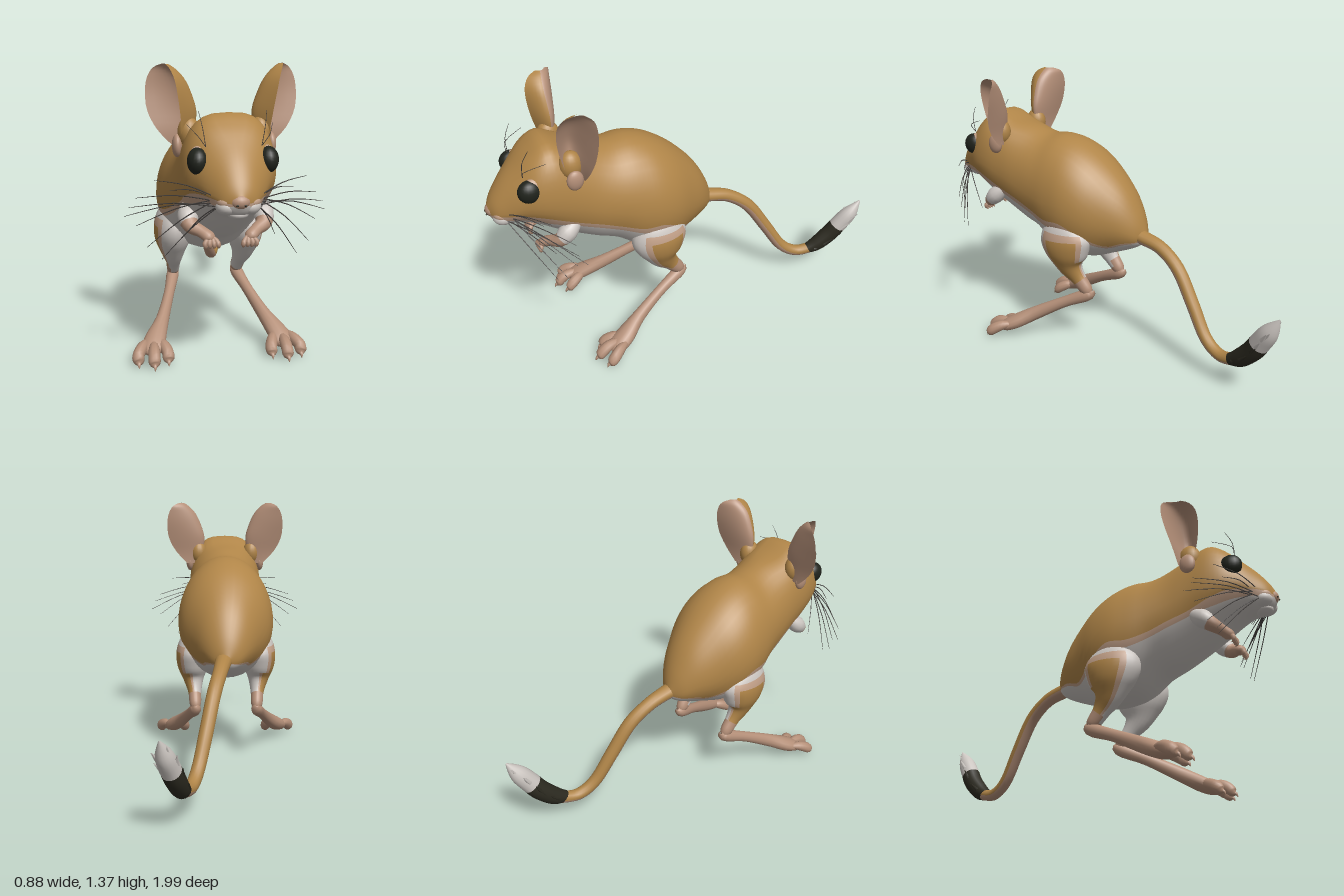
import * as THREE from 'three';

const mat = (name, color) => Object.assign(new THREE.MeshStandardMaterial({ color }), { name });
const M = {
  tan: mat('tan fur', 0xb08548), cream: mat('pale fur', 0xcbc5c0), band: mat('fur border', 0xc2a088),
  skin: mat('pink skin', 0xb59079), dark: mat('dark fur', 0x2c2a20), eye: mat('eye black', 0x20231c),
  whisker: mat('whisker grey', 0x45413f),
};

// Smooth interpolation through rows of numbers, t from 0 to 1
function along(rows, t) {
  const n = rows.length - 1, f = Math.min(Math.max(t, 0), 1) * n, i = Math.min(Math.floor(f), n - 1), k = f - i;
  const [p, q, r, s] = [-1, 0, 1, 2].map(d => rows[Math.min(Math.max(i + d, 0), n)]);
  return q.map((_, c) => 0.5 * (2 * q[c] + (r[c] - p[c]) * k + (2 * p[c] - 5 * q[c] + 4 * r[c] - s[c]) * k * k
    + (3 * q[c] - p[c] - 3 * r[c] + s[c]) * k * k * k));
}

// Grid surface; pick(i, j) chooses the material of each cell
function surface(name, nu, nv, closed, point, mats, pick = () => 0) {
  const pos = [], lists = mats.map(() => []), w = closed ? nv : nv + 1;
  for (let i = 0; i <= nu; i++) for (let j = 0; j < w; j++) pos.push(...point(i, j));
  for (let i = 0; i < nu; i++) for (let j = 0; j < nv; j++) {
    const k = (j + 1) % w, a = i * w + j, b = i * w + k, c = a + w, d = b + w;
    lists[pick(i, j)].push(a, b, c, b, d, c);
  }
  const g = new THREE.BufferGeometry();
  g.setAttribute('position', new THREE.Float32BufferAttribute(pos, 3));
  g.setIndex(lists.flat());
  let start = 0;
  lists.forEach((l, m) => { g.addGroup(start, l.length, m); start += l.length; });
  g.computeVertexNormals();
  const mesh = new THREE.Mesh(g, mats.length > 1 ? mats : mats[0]);
  mesh.name = name;
  return mesh;
}

// Limb with elliptical sections; rows are [x, y, z, radius across, radius other way]
function limb(name, rows, ref, mats, nu = 20, nv = 14, pick) {
  const R = new THREE.Vector3(...ref);
  return surface(name, nu, nv, true, (i, j) => {
    const t = i / nu, p = along(rows, t), e = 0.01, v = j / nv * Math.PI * 2;
    const T = new THREE.Vector3(...along(rows, t + e).slice(0, 3))
      .sub(new THREE.Vector3(...along(rows, t - e).slice(0, 3))).normalize();
    const A = new THREE.Vector3().crossVectors(T, R).normalize(), B = new THREE.Vector3().crossVectors(T, A);
    return new THREE.Vector3(p[0], p[1], p[2])
      .addScaledVector(A, Math.max(p[3], 0.001) * Math.cos(v))
      .addScaledVector(B, Math.max(p[4], 0.001) * Math.sin(v)).toArray();
  }, mats, pick);
}

function ball(name, c, r, m) {
  const mesh = new THREE.Mesh(new THREE.SphereGeometry(1, 20, 14).scale(...r).translate(...c), m);
  mesh.name = name;
  return mesh;
}

// Mirrored copy across x with corrected corner order
function mirrored(mesh) {
  const g = mesh.geometry.clone().applyMatrix4(new THREE.Matrix4().makeScale(-1, 1, 1)), ix = g.index.array;
  for (let i = 0; i < ix.length; i += 3) [ix[i], ix[i + 1]] = [ix[i + 1], ix[i]];
  const copy = new THREE.Mesh(g, mesh.material);
  copy.name = mesh.name.replace('left', 'right');
  return copy;
}

// Body and head: [z, top, bottom, half width, widest height, fur boundary height]
function makeBody() {
  const rows = [
    [-0.17, .63, .58, .02, .61, .59], [-0.14, .72, .55, .075, .62, .585], [-0.08, .83, .52, .13, .66, .58],
    [0, .925, .49, .18, .69, .56], [.1, 1.01, .455, .235, .72, .62], [.2, 1.065, .455, .258, .74, .68],
    [.3, 1.09, .48, .25, .76, .68], [.4, 1.085, .55, .23, .8, .71], [.5, 1.115, .59, .215, .83, .75],
    [.6, 1.14, .64, .208, .88, .785], [.7, 1.183, .7, .205, .92, .83], [.78, 1.14, .755, .188, .93, .86],
    [.85, 1.075, .785, .15, .92, .87], [.91, 1.01, .79, .11, .88, .868], [.96, .94, .805, .07, .86, .86],
    [.985, .89, .84, .025, .86, .855]];
  const nu = 60, half = 18, cut = 11, step = THREE.MathUtils.smoothstep;
  const zone = k => (k < cut ? 0 : k === cut ? 1 : 2);
  return surface('body and head', nu, half * 2, true, (i, j) => {
    const [z, top, bot, w, ym, yb] = along(rows, i / nu), k = j <= half ? j : 2 * half - j;
    const b = Math.acos(Math.min(Math.max((yb - ym) / (ym - bot), -0.85), 0.3));
    const b2 = b + (Math.PI - b) * (0.1 + 0.14 * step(z, .6, .8));
    const a = k <= cut ? b * k / cut : b2 + (Math.PI - b2) * (k - cut - 1) / (half - cut - 1);
    // the crown of the head is squarer than the back
    const c = Math.cos(a), square = c > 0 ? 1 - .35 * step(z, .45, .62) * (1 - step(z, .76, .88)) : 1;
    const x = w * Math.max(Math.sin(a), 0) ** square * (j <= half ? -1 : 1);
    return [x, ym + c * (c > 0 ? top - ym : ym - bot), z];
  }, [M.tan, M.band, M.cream], (i, j) => zone(j < half ? j : 2 * half - 1 - j));
}

// Cupped ear opening outward: [y, front rim x, rear rim x, front rim z, rear rim z, depth]
function makeEar() {
  const rows = [[1.03, .19, .22, .64, .58, .04], [1.1, .19, .285, .66, .575, .09], [1.18, .198, .325, .68, .56, .122],
    [1.26, .21, .332, .69, .545, .108], [1.32, .222, .322, .685, .54, .08], [1.36, .238, .297, .66, .545, .04],
    [1.378, .252, .262, .62, .575, .005]];
  const nu = 18, nv = 16;
  const sheet = (back) => (i, j) => {
    const [y, fx, rx, fz, rz, depth] = along(rows, i / nu), s = (back ? nv - j : j) / nv;
    const bow = 4 * s * (1 - s) * (depth + (back ? .012 : 0));
    return [fx + (rx - fx) * s - bow, y, fz + (rz - fz) * s - .2 * bow];
  };
  return [
    surface('left ear inside', nu, nv, false, sheet(false), [M.skin]),
    surface('left ear back', nu, nv, false, sheet(true), [M.skin, M.tan], (i, j) => (j < 10 ? 0 : 1)),
    ball('left ear base', [.155, 1.09, .62], [.048, .07, .055], M.tan),
    ball('left ear notch', [.205, 1.035, .62], [.022, .05, .04], M.skin),
  ];
}

function makeHindLeg() {
  const parts = [];
  // thigh and shank, pale with a tan patch outside that runs down behind
  parts.push(limb('left thigh', [
    [.17, .71, .2, .01, .01], [.175, .66, .205, .065, .1], [.18, .58, .205, .09, .145], [.18, .5, .195, .084, .122],
    [.177, .43, .18, .055, .075], [.17, .37, .14, .036, .046], [.166, .31, .09, .03, .034], [.166, .28, .07, .01, .01],
  ], [0, 0, 1], [M.tan, M.band, M.cream, M.skin], 32, 24, (i, j) => {
    const first = i > 15 ? 6 : 8;
    if (i > 23 && (i > 25 || j < 16)) return 3;
    if (j < first || j > 14 || i < 7) return 2;
    return j === first || j === 14 || i < 9 ? 1 : 0;
  }));
  // long foot
  parts.push(limb('left foot', [
    [.165, .315, .055, .008, .008], [.166, .285, .08, .031, .032], [.2, .225, .21, .026, .029],
    [.25, .145, .36, .032, .036], [.295, .09, .46, .052, .038], [.315, .062, .52, .05, .03], [.32, .05, .55, .01, .01],
  ], [0, 1, 0], [M.skin]));
  // three toes with claws
  for (const [x, z] of [[.245, .565], [.312, .605], [.382, .57]]) {
    const bx = .305 + (x - .312) * .4;
    parts.push(limb('left toe', [[bx, .085, .46, .01, .01], [(bx + x) / 2, .078, z - .06, .025, .026],
      [x, .055, z - .015, .028, .029], [x, .032, z + .005, .025, .022], [x, .025, z + .02, .004, .004]],
    [0, 1, 0], [M.skin], 14, 10));
    parts.push(limb('left claw', [[x, .035, z, .01, .01], [x, .025, z + .02, .008, .009], [x, .008, z + .028, .001, .001]],
      [1, 0, 0], [M.skin], 6, 6));
  }
  return parts;
}

function makeArm() {
  // pale upper arm, bare forearm and paw
  const parts = [limb('left forearm', [[.15, .79, .6, .02, .02], [.165, .745, .66, .045, .045], [.16, .705, .705, .036, .034],
    [.12, .685, .74, .027, .026], [.088, .665, .768, .028, .024], [.078, .65, .778, .008, .008]], [0, 1, 0],
  [M.cream, M.skin], 20, 14, i => (i < 7 ? 0 : 1))];
  for (let i = 0; i < 4; i++) {
    const x = .056 + i * .018;
    parts.push(limb('left finger', [[.08, .668, .765, .01, .01], [x, .648, .788, .011, .011],
      [x - .003, .63, .788, .009, .009], [x - .004, .62, .778, .001, .001]], [1, 0, 0], [M.skin], 8, 7));
  }
  return parts;
}

function makeFace() {
  const parts = [
    ball('left eye', [.146, 1.0, .815], [.043, .056, .056], M.eye),
    ball('left eyelid', [.142, .998, .796], [.036, .062, .056], M.band),
    ball('left muzzle pad', [.045, .836, .925], [.047, .036, .05], M.cream),
    ball('left muzzle top', [.043, .856, .928], [.047, .03, .045], M.band),
    ball('left nostril', [.016, .852, .994], [.006, .004, .004], M.dark),
  ];
  // whiskers sweep out, back and down
  const ends = [[.32, .92, .78], [.39, .83, .7], [.44, .745, .67], [.42, .79, .7], [.39, .71, .7],
    [.35, .625, .74], [.29, .58, .77], [.2, .66, .74], [.26, .88, .8]];
  ends.forEach(([x, y, z], i) => {
    const rx = .07 + (i % 3) * .01, ry = .865 - (i % 4) * .01, rz = .93 - (i % 3) * .015;
    parts.push(limb('left whisker', [[rx, ry, rz, .0025, .0025],
      [(rx + x) / 2, (ry + y) / 2 + .02, (rz + z) / 2 + .01, .0023, .0023], [x, y, z, .001, .001]], [0, 1, 0], [M.whisker], 8, 5));
  });
  for (const [x, y, z] of [[.14, 1.2, .8], [.18, 1.14, .74]])
    parts.push(limb('left brow whisker', [[.115, 1.06, .83, .0015, .0015], [(x + .115) / 2, y / 2 + .535, .83, .0015, .0015],
      [x, y, z, .001, .001]], [0, 0, 1], [M.whisker], 6, 5));
  return parts;
}

function makeTail() {
  const tail = new THREE.Group();
  tail.name = 'tail';
  // shaft is bare underneath
  tail.add(limb('tail shaft', [[.01, .61, -.1, .04, .045], [.018, .6, -.17, .036, .042], [.035, .57, -.28, .034, .036],
    [.065, .49, -.39, .034, .035], [.1, .34, -.49, .033, .034], [.135, .2, -.58, .031, .032], [.165, .145, -.67, .03, .031],
    [.195, .16, -.76, .03, .03]], [1, 0, 0], [M.tan, M.skin], 40, 14, (i, j) => (j < 3 || j > 10 ? 1 : 0)));
  const tuft = [[.19, .155, -.735, .03, .03], [.205, .185, -.79, .045, .04], [.225, .25, -.855, .05, .046],
    [.245, .32, -.9, .05, .045], [.265, .39, -.945, .042, .038], [.28, .465, -.99, .003, .003]];
  tail.add(limb('tail tuft', tuft, [1, 0, 0], [M.dark, M.cream], 24, 16, i => (i < 13 ? 0 : 1)));
  // loose tips of fur around the tuft
  for (let i = 0; i < 30; i++) {
    const t = .1 + .64 * i / 30, [x, y, z, r] = along(tuft, t), [ex, ey, ez] = along(tuft, t + .14);
    const a = i * 2.4, dx = Math.cos(a) * r, dy = -Math.sin(a) * r * .7, dz = Math.sin(a) * r * .7;
    tail.add(limb('tuft hair', [[x + dx * .7, y + dy * .7, z + dz * .7, .014, .014], [ex + dx * 1.1, ey + dy * 1.1, ez + dz, .001, .001]],
      [1, 0, 0], [t < .48 ? M.dark : M.cream], 3, 5));
  }
  return tail;
}

export function createModel() {
  const model = new THREE.Group();
  model.name = 'jumping desert rodent';
  model.add(makeBody(), makeTail());
  model.add(ball('nose', [0, .862, .962], [.042, .032, .035], M.skin), ball('chin', [0, .805, .92], [.045, .025, .045], M.cream));
  const sides = { ear: makeEar(), 'hind leg': makeHindLeg(), arm: makeArm(), face: makeFace() };
  for (const [name, parts] of Object.entries(sides)) {
    const left = new THREE.Group(), right = new THREE.Group();
    left.name = 'left ' + name;
    right.name = 'right ' + name;
    left.add(...parts);
    right.add(...parts.map(mirrored));
    model.add(left, right);
  }
  return model;
}
